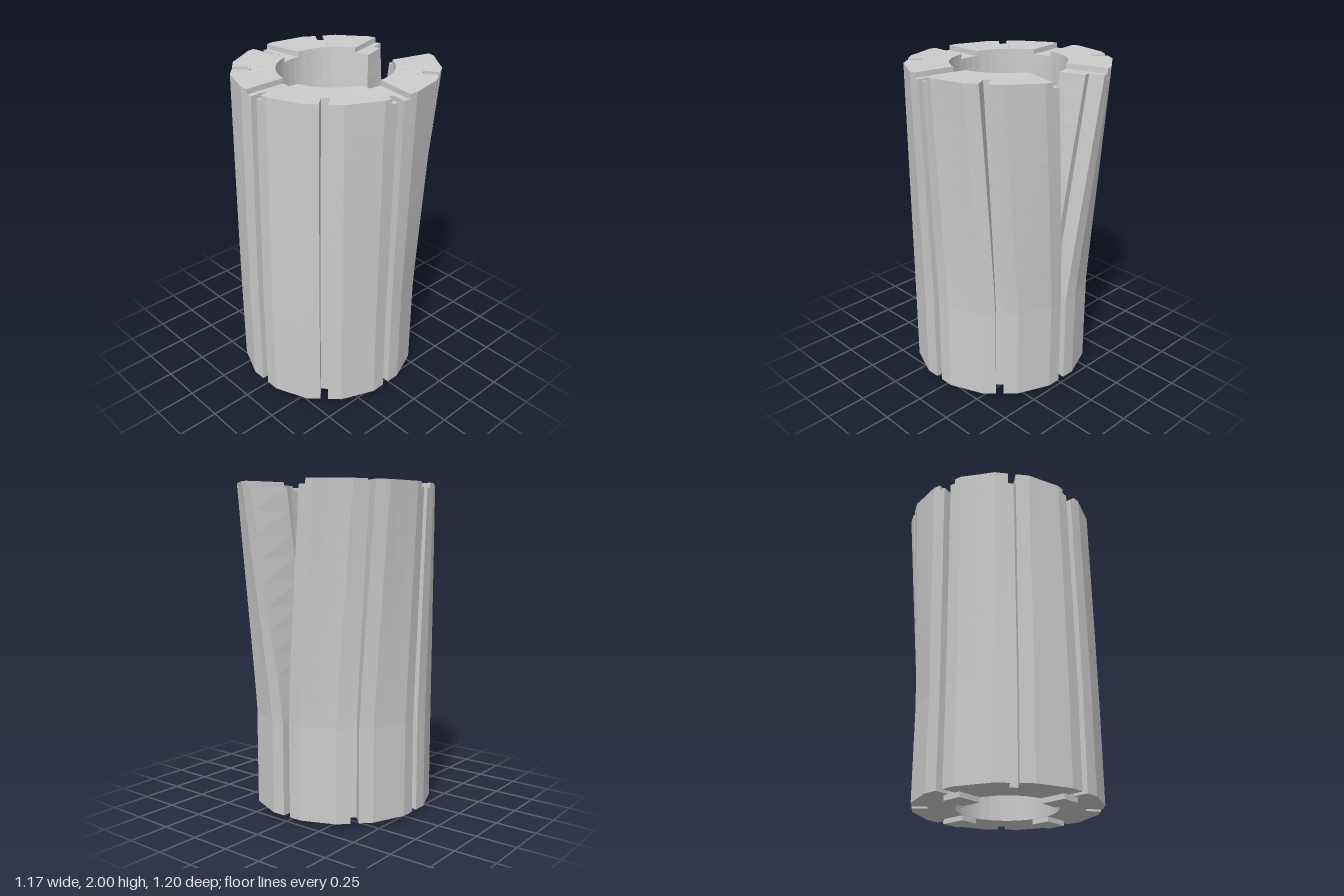
import * as THREE from 'three';

const CX = -0.05;          // axis of the sleeve at its base
const BORE = 0.3, FACE = 0.547, FLOOR = 0.455; // bore, outer flats, groove floors
const MID = 0.4225;        // radius whose length stays constant as the wall opens
const GROOVE = 0.024, SLOT = 0.06, CORNER = FACE * Math.tan(Math.PI / 16);
const Y0 = 0.03, Y_SLOT = 1.955, Y_TOP = 1.985;

// One station across the wall: outer and inner point in polar form
function station(base, depth, t, tInner = t) {
  return {
    t, base,
    outer: { r: Math.hypot(depth, t), a: base + Math.atan2(t, depth) },
    inner: { r: BORE, a: base + Math.asin(tInner / BORE) },
  };
}

// Opens the split: the wall unrolls more and more towards the top
function place(p, y) {
  const s = Math.pow(Math.max(0, (y - 0.6) / 1.385), 1.15);
  const k = 1 / (1 + 0.1 * s);
  const radius = p.r - MID + MID / k;
  const angle = Math.PI - (Math.PI - p.a) * k;
  const cx = CX + 0.025 * s + MID / k - MID;
  const lift = 0.0075 * s * (1 + Math.cos(p.a));
  return [cx + radius * Math.cos(angle), y + lift, radius * Math.sin(angle)];
}

// Stations from one lip of the split round to the other
function makeStations() {
  const list = [];
  for (let g = 0; g <= 8; g++) {
    const base = g * Math.PI / 4;
    const groove = [
      station(base, FACE, -CORNER, -CORNER * 0.7),
      station(base, FACE, -SLOT),
      station(base, FACE, -GROOVE),
      station(base, FLOOR, -GROOVE),
      station(base, FLOOR, GROOVE),
      station(base, FACE, GROOVE),
      station(base, FACE, SLOT),
      station(base, FACE, CORNER, CORNER * 0.7),
    ];
    groove.forEach((s) => { s.cardinal = g % 2 === 0; });
    list.push(...groove.slice(g === 0 ? 5 : 0, g === 8 ? 5 : 8));
    if (g < 8) {
      for (const t of [-0.04, 0.04]) list.push(station(base + Math.PI / 8, FACE, t, t * 0.7));
    }
  }
  return list;
}

function makeSleeve() {
  const pos = [];
  const quad = (a, b, c, d) => pos.push(...a, ...b, ...c, ...a, ...c, ...d);
  const levels = [Y0, 0.3, 0.6];
  for (let i = 1; i <= 10; i++) levels.push(0.6 + (Y_SLOT - 0.6) * i / 10);
  levels.push(Y_TOP);

  // Radial wall at a station, facing back (-1) or forward (+1) round the ring
  const radialWall = (s, ya, yb, dir) => {
    const c = [place(s.outer, ya), place(s.inner, ya), place(s.inner, yb), place(s.outer, yb)];
    quad(...(dir < 0 ? c : c.reverse()));
  };

  const list = makeStations();
  const inSlot = (a, b) => a.cardinal && b.cardinal && a.base === b.base &&
    Math.abs(a.t) <= SLOT && Math.abs(b.t) <= SLOT;

  for (let i = 0; i < list.length - 1; i++) {
    const a = list[i], b = list[i + 1];
    const slot = inSlot(a, b);
    const yTop = slot ? Y_SLOT : Y_TOP;
    const grooveWall = a.base === b.base && a.t === b.t;

    for (let j = 0; j < levels.length - 1 && levels[j] < yTop; j++) {
      const y = levels[j], Y = levels[j + 1];
      quad(place(a.outer, y), place(a.outer, Y), place(b.outer, Y), place(b.outer, y));
      if (!grooveWall) quad(place(b.inner, y), place(b.inner, Y), place(a.inner, Y), place(a.inner, y));
    }
    if (!grooveWall) {
      quad(place(a.outer, yTop), place(a.inner, yTop), place(b.inner, yTop), place(b.outer, yTop));
      quad(place(b.outer, Y0), place(b.inner, Y0), place(a.inner, Y0), place(a.outer, Y0));
    }
    // Side walls of the slots in the top rim
    if (!slot) {
      if (i > 0 && inSlot(list[i - 1], a)) radialWall(a, Y_SLOT, Y_TOP, -1);
      if (i + 2 < list.length && inSlot(b, list[i + 2])) radialWall(b, Y_SLOT, Y_TOP, 1);
    }
  }

  // Faces of the split
  for (let j = 0; levels[j] < Y_SLOT; j++) {
    radialWall(list[0], levels[j], levels[j + 1], -1);
    radialWall(list[list.length - 1], levels[j], levels[j + 1], 1);
  }

  const geo = new THREE.BufferGeometry();
  geo.setAttribute('position', new THREE.Float32BufferAttribute(pos, 3));
  geo.computeVertexNormals();
  return geo;
}

export function createModel() {
  const group = new THREE.Group();
  group.name = 'splitSleeve';
  const material = new THREE.MeshStandardMaterial({ color: 0xcccccc, flatShading: true });

  const sleeve = new THREE.Mesh(makeSleeve(), material);
  sleeve.name = 'groovedSleeve';
  group.add(sleeve);

  // Four locating keys under the base
  const keys = new THREE.Group();
  keys.name = 'baseKeys';
  keys.position.x = CX;
  const keyGeo = new THREE.BoxGeometry(FLOOR - BORE, Y0 + 0.005, 2 * SLOT);
  keyGeo.translate((FLOOR + BORE) / 2, (Y0 + 0.005) / 2, 0);
  for (let i = 0; i < 4; i++) {
    const key = new THREE.Mesh(keyGeo, material);
    key.name = 'baseKey';
    key.rotation.y = i * Math.PI / 2;
    keys.add(key);
  }
  group.add(keys);
  return group;
}
